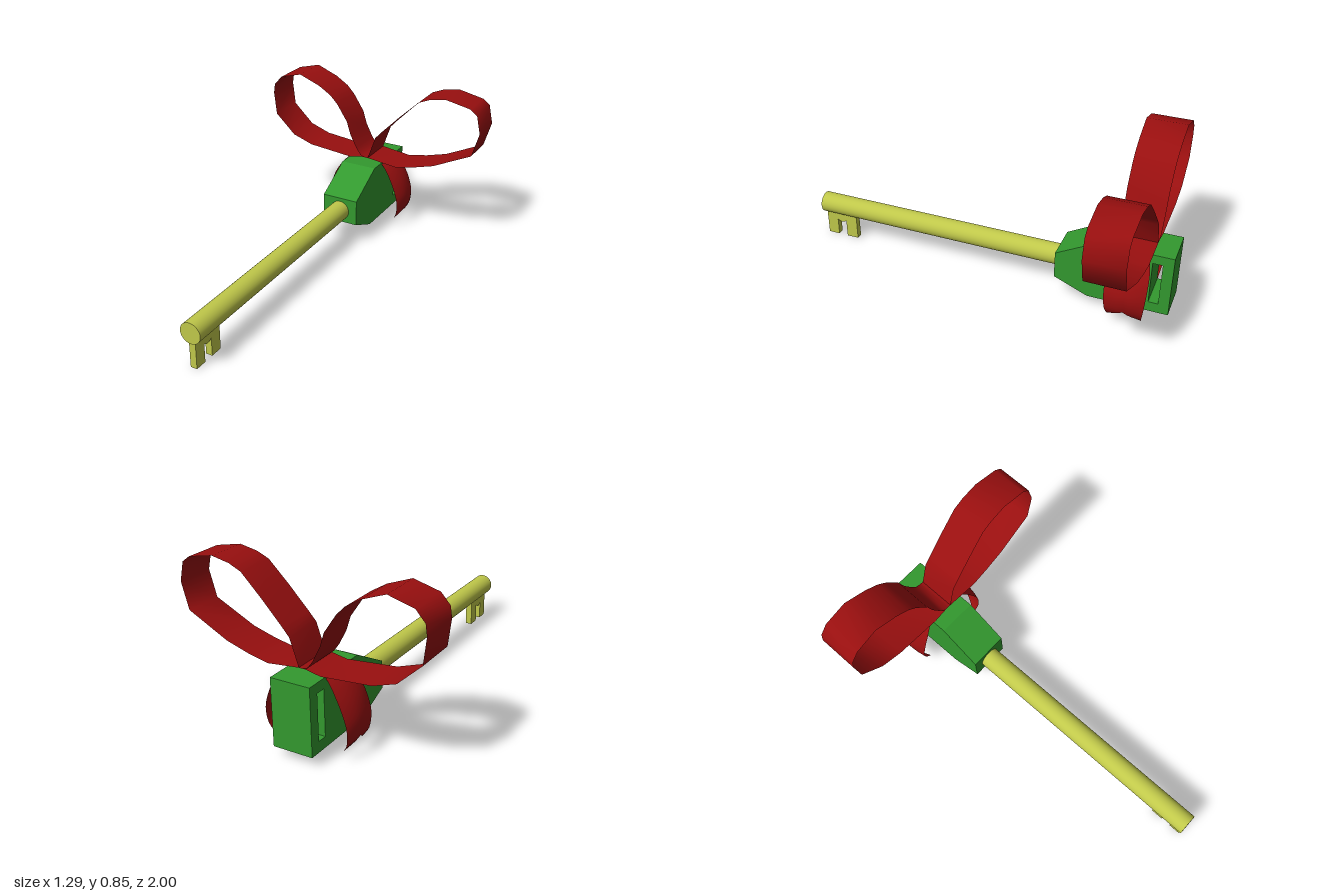
import * as THREE from 'three';

const CX = -0.0375; // centre plane of the key
const mat = (color, side = THREE.FrontSide) => new THREE.MeshStandardMaterial({ color, side });
const v2 = (pts) => pts.map(([a, b]) => new THREE.Vector2(a, b));

// Extrudes a (z, y) outline across x, centred on the key
function sidePlate(name, shape, width, material) {
  const g = new THREE.ExtrudeGeometry(shape, { depth: width, bevelEnabled: false, curveSegments: 8 });
  g.rotateY(-Math.PI / 2).translate(CX + width / 2, 0, 0);
  const m = new THREE.Mesh(g, material);
  m.name = name;
  return m;
}

// Smooth open surface from a rule point(u, v) on a grid
function sheet(name, nu, nv, point, material) {
  const pos = [], index = [];
  for (let i = 0; i <= nu; i++) {
    for (let j = 0; j <= nv; j++) {
      pos.push(...point(i / nu, j / nv));
      if (i < nu && j < nv) {
        const a = i * (nv + 1) + j, b = a + nv + 1;
        index.push(a, b, a + 1, b, b + 1, a + 1);
      }
    }
  }
  const g = new THREE.BufferGeometry();
  g.setAttribute('position', new THREE.Float32BufferAttribute(pos, 3));
  g.setIndex(index);
  g.computeVertexNormals();
  const m = new THREE.Mesh(g, material);
  m.name = name;
  return m;
}

export function createModel() {
  const model = new THREE.Group();
  model.name = 'keyWithBow';
  const green = mat(0x33992f), brass = mat(0xc0c84a), red = mat(0x990f0f, THREE.DoubleSide);

  // Handle with a slot near its back end
  const handle = new THREE.Shape(v2([
    [-1, 0.05], [-0.58, 0.05], [-0.4, 0.125], [-0.4, 0.27], [-0.62, 0.39], [-1, 0.39],
  ]));
  handle.holes.push(new THREE.Path(v2([[-0.945, 0.105], [-0.945, 0.34], [-0.895, 0.34], [-0.895, 0.105]])));
  model.add(sidePlate('handle', handle, 0.207, green));

  // Round shaft
  const shaft = new THREE.Mesh(new THREE.CylinderGeometry(0.056, 0.056, 1.42, 32), brass);
  shaft.name = 'shaft';
  shaft.rotation.x = Math.PI / 2;
  shaft.position.set(CX, 0.194, 0.29);
  model.add(shaft);

  // Two teeth with a rounded bridge between them
  const teeth = new THREE.Shape();
  teeth.moveTo(0.805, 0.16);
  teeth.lineTo(0.805, 0);
  teeth.lineTo(0.872, 0);
  teeth.lineTo(0.872, 0.1);
  teeth.quadraticCurveTo(0.899, 0.075, 0.926, 0.1);
  teeth.lineTo(0.926, 0);
  teeth.lineTo(0.99, 0);
  teeth.lineTo(0.99, 0.16);
  model.add(sidePlate('teeth', teeth, 0.035, brass));

  // Bow loops: flat ribbon bands following an outline in x and y
  const loops = {
    rightLoop: [
      [-0.02, 0.412], [-0.06, 0.42], [-0.09, 0.46], [-0.13, 0.535], [-0.155, 0.61], [-0.22, 0.705],
      [-0.265, 0.75], [-0.34, 0.795], [-0.465, 0.842], [-0.595, 0.807], [-0.641, 0.755], [-0.648, 0.7],
      [-0.63, 0.57], [-0.51, 0.46], [-0.39, 0.42], [-0.13, 0.397], [-0.05, 0.412], [-0.02, 0.412],
    ],
    leftLoop: [
      [-0.015, 0.41], [0.03, 0.545], [0.07, 0.59], [0.175, 0.7], [0.28, 0.802], [0.345, 0.83],
      [0.44, 0.848], [0.58, 0.82], [0.62, 0.79], [0.643, 0.69], [0.605, 0.555], [0.39, 0.45],
      [0.27, 0.415], [0.16, 0.392], [-0.04, 0.415],
    ],
  };
  for (const [name, pts] of Object.entries(loops)) {
    const n = pts.length - 1;
    model.add(sheet(name, n, 1, (u, v) => {
      const [x, y] = pts[Math.round(u * n)];
      const back = -0.897 + 0.0195 * x; // rear edge runs slightly askew
      return [x, y, THREE.MathUtils.lerp(-0.69, back, v)];
    }, red));
  }

  // Ribbon tails: cupped strips curling down each side, ending in a swallowtail
  const path = new THREE.SplineCurve(v2([
    [0, 0.408], [0.085, 0.392], [0.15, 0.35], [0.203, 0.28], [0.233, 0.2],
    [0.235, 0.14], [0.217, 0.08], [0.177, 0.035],
  ]));
  const halfWidth = new THREE.SplineCurve(v2([
    [0, 0.05], [0.2, 0.078], [0.45, 0.102], [0.65, 0.106], [0.85, 0.1], [1, 0.088],
  ]));
  for (const side of [-1, 1]) {
    model.add(sheet(side < 0 ? 'rightTail' : 'leftTail', 24, 8, (u, v) => {
      const s = v * 2 - 1;
      const t = u * (1 - 0.15 * (1 - Math.abs(s)));
      const p = path.getPointAt(t);
      const cup = 1 - 0.1 * s * s * Math.sin(Math.PI * t);
      return [CX + side * p.x * cup, p.y, -0.795 + s * halfWidth.getPoint(t).y];
    }, red));
  }
  return model;
}
